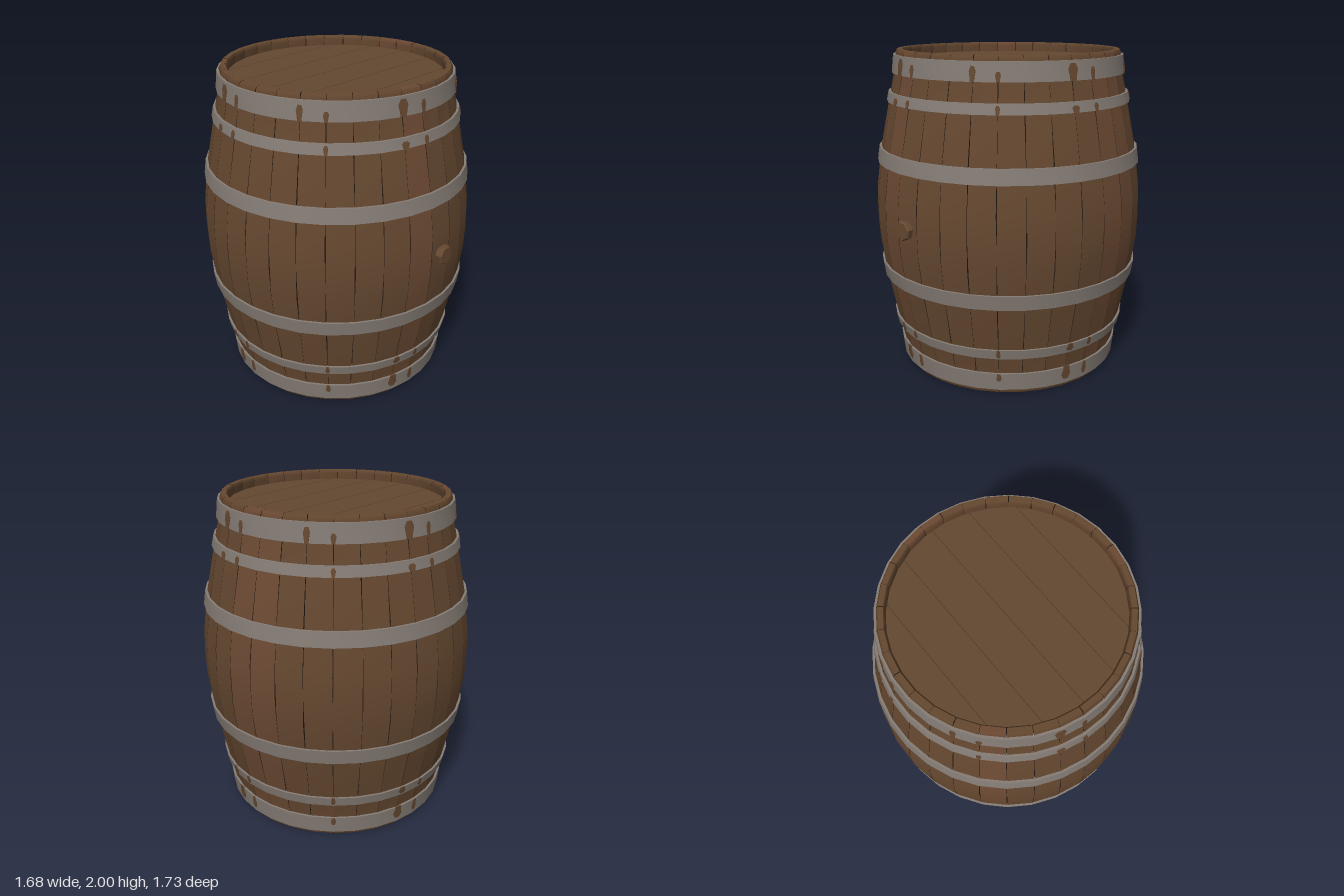
import * as THREE from 'three';
import { toCreasedNormals } from 'three/addons/utils/BufferGeometryUtils.js';

const STAVES = 32;
const STEP = (Math.PI * 2) / STAVES;

const material = (name, color) => {
  const m = new THREE.MeshStandardMaterial({ color });
  m.name = name;
  return m;
};

// lower half of the barrel's bulge as [height, radius]; the upper half mirrors it
const BULGE = [[0, 0.685], [0.02, 0.695], [0.14, 0.708], [0.3, 0.743], [0.6, 0.805], [0.85, 0.84], [1, 0.844]];
const HEIGHTS = [...BULGE.map(p => p[0]), ...BULGE.slice(0, -1).reverse().map(p => 2 - p[0])];

function radiusAt(y) {
  const h = Math.min(y, 2 - y);
  for (let i = 1; i < BULGE.length; i++) {
    const [y0, r0] = BULGE[i - 1], [y1, r1] = BULGE[i];
    if (h <= y1) return r0 + (r1 - r0) * (h - y0) / (y1 - y0);
  }
  return BULGE[BULGE.length - 1][1];
}

// a box wrapped round the barrel: one ring of corners at each height
function wrappedBox(angle, heights, halfWidth, inner, outer, xSegments = 1) {
  const n = heights.length - 1;
  const geo = new THREE.BoxGeometry(1, 1, 1, xSegments, n, 1);
  const p = geo.attributes.position;
  for (let i = 0; i < p.count; i++) {
    const row = Math.round((p.getY(i) + 0.5) * n);
    const y = heights[row];
    const r = p.getZ(i) > 0 ? outer(y) : inner(y);
    const a = angle + p.getX(i) * 2 * halfWidth(row, Math.sign(p.getX(i)));
    p.setXYZ(i, r * Math.sin(a), y, r * Math.cos(a));
  }
  geo.computeVertexNormals();
  return geo;
}

export function createModel() {
  const wood = material('oak', 0x654830);
  const redWood = material('reddish oak', 0x6c4a33);
  const seamWood = material('dark seam wood', 0x33241a);
  const lidWood = material('lid oak', 0x624831);
  const iron = material('hoop iron', 0x857c75);

  const model = new THREE.Group();
  model.name = 'barrel';
  const body = new THREE.Group();
  body.name = 'barrelBody';
  body.position.z = -0.015;
  model.add(body);

  const add = (name, geo, mat, parent = body) => {
    const mesh = new THREE.Mesh(geo, mat);
    mesh.name = name;
    parent.add(mesh);
    return mesh;
  };

  // staves, with slightly uneven open seams and dark side faces
  const staves = new THREE.Group();
  staves.name = 'staves';
  body.add(staves);
  const innerRadius = y => radiusAt(y) - (y < 0.01 || y > 1.99 ? 0.03 : 0.05);
  for (let k = 0; k < STAVES; k++) {
    const face = [8, 9, 20, 31].includes(k) ? redWood : wood;
    const half = (row, side) => {
      const seam = side > 0 ? k : k - 1 + STAVES;
      return STEP / 2 - 0.0012 - 0.0035 * Math.max(0, Math.sin((seam % 8) * 2.3 + row * 1.9));
    };
    const geo = wrappedBox(k * STEP, HEIGHTS, half, innerRadius, radiusAt);
    add('stave', geo, [seamWood, seamWood, face, face, face, face], staves);
  }

  // thin lining behind the seams
  const liningPoints = HEIGHTS.slice(2, -2).map(y => new THREE.Vector2(radiusAt(y) - 0.055, y));
  add('lining', new THREE.LatheGeometry(liningPoints, STAVES, STEP / 2), seamWood);

  // iron hoops, mirrored top and bottom
  const bands = [[0.03, 0.14], [0.25, 0.31], [0.59, 0.68]];
  const hoopRadius = y => radiusAt(y) + 0.014;
  for (const [low, high] of bands) {
    for (const [y0, y1] of [[low, high], [2 - high, 2 - low]]) {
      const profile = [
        [radiusAt(y0) - 0.01, y0], [hoopRadius(y0), y0],
        [hoopRadius(y1), y1], [radiusAt(y1) - 0.01, y1],
      ].map(([r, y]) => new THREE.Vector2(r, y));
      const geo = new THREE.LatheGeometry(profile, STAVES, STEP / 2);
      add('hoop', toCreasedNormals(geo, 0.5), iron);
    }
  }

  // stave edges showing through the hoops, repeated on each quarter:
  // [seam number, lowest, highest, half width]
  const slivers = [
    [-1.5, 0.06, 0.15, 0.042], [-0.5, 0.06, 0.14, 0.024], [3.5, 0.09, 0.14, 0.022],
    [-1.5, 0.265, 0.312, 0.032], [-0.5, 0.265, 0.312, 0.02], [3.5, 0.26, 0.312, 0.018],
    [-1.5, 1.86, 1.955, 0.042], [-0.5, 1.86, 1.93, 0.022], [2.5, 1.86, 1.945, 0.026],
    [3.5, 1.86, 1.915, 0.022], [-1.5, 1.688, 1.73, 0.032], [-0.5, 1.688, 1.735, 0.02],
    [3.5, 1.688, 1.74, 0.018],
  ];
  for (let quarter = 0; quarter < 4; quarter++) {
    for (const [seam, y0, y1, w] of slivers) {
      const widths = y0 > 1 ? [0.6, 0.75, 1, 0.5] : [0.5, 1, 0.75, 0.6];
      const heights = widths.map((_, i) => y0 + (y1 - y0) * i / 3);
      const geo = wrappedBox((seam + quarter * 8) * STEP, heights, row => w * widths[row],
        y => hoopRadius(y) - 0.005, y => hoopRadius(y) + 0.003, 2);
      add('staveEdge', geo, wood);
    }
  }

  // recessed lids of straight boards cut to a circle
  const lidRadius = 0.65, gap = 0.0025;
  const cuts = [-lidRadius, -0.475, -0.245, -0.015, 0.215, 0.445, lidRadius];
  for (const [name, y] of [['topLidBoard', 1.9], ['bottomLidBoard', 0.06]]) {
    for (let i = 0; i + 1 < cuts.length; i++) {
      const z0 = cuts[i] + gap, z1 = cuts[i + 1] - gap;
      const right = [], left = [];
      for (let s = 0; s <= 10; s++) {
        const z = z0 + (z1 - z0) * s / 10;
        const x = Math.sqrt(lidRadius ** 2 - z * z);
        right.push(new THREE.Vector2(x, -z));
        left.unshift(new THREE.Vector2(-x, -z));
      }
      const geo = new THREE.ExtrudeGeometry(new THREE.Shape([...right, ...left]), { depth: 0.04, bevelEnabled: false });
      geo.rotateX(-Math.PI / 2);
      add(name, geo, lidWood).position.y = y;
    }
  }

  // bung on the front: a plug with a chamfered seven-sided head
  const bungProfile = [[0.05, 0], [0.05, 0.045], [0.06, 0.05], [0.06, 0.075], [0.053, 0.085], [0, 0.085]]
    .map(([r, y]) => new THREE.Vector2(r, y));
  const bung = toCreasedNormals(new THREE.LatheGeometry(bungProfile, 7), 0.3);
  bung.rotateX(Math.PI / 2);
  add('bung', bung, wood, model).position.set(0, 1.005, 0.785);

  return model;
}
